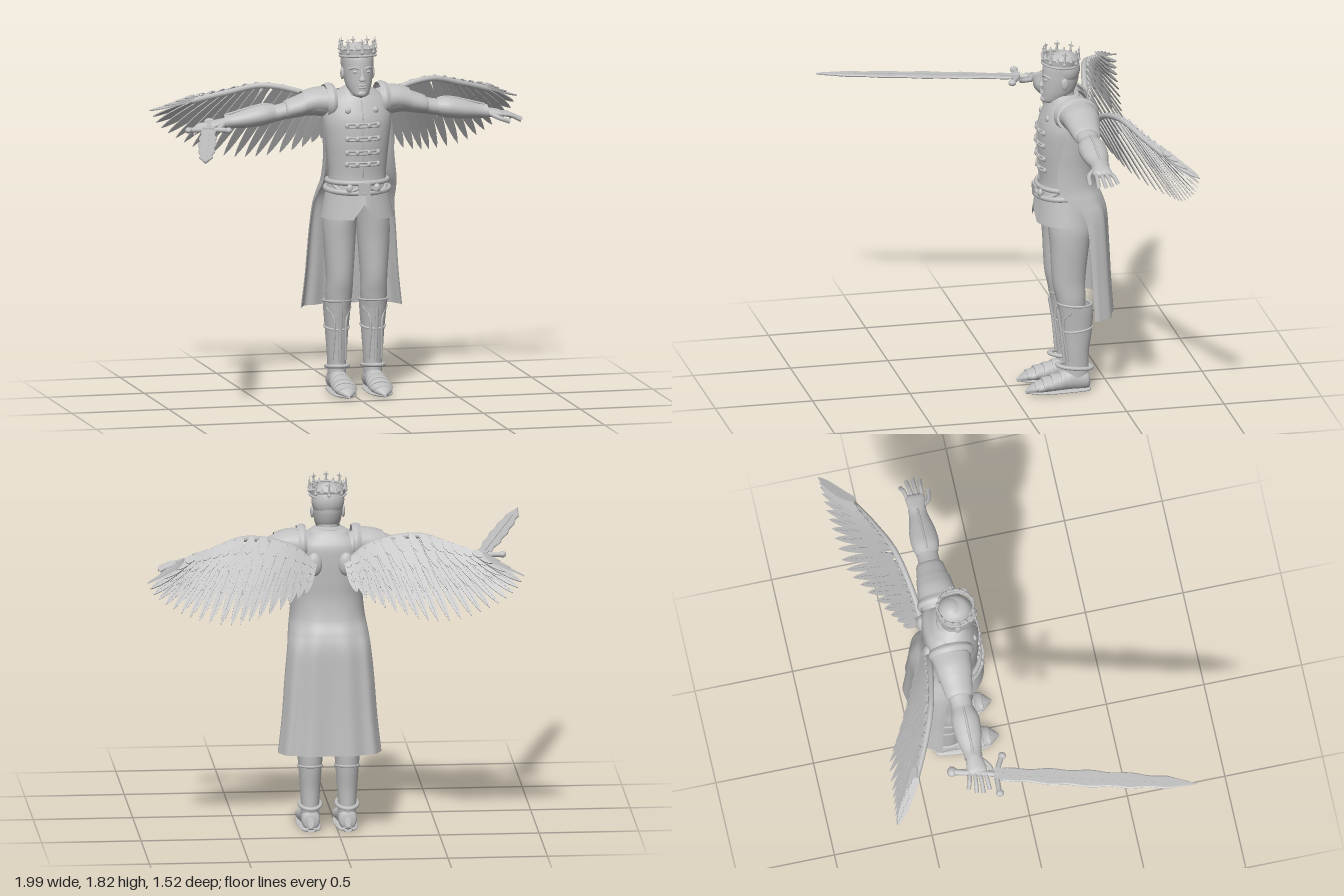
import * as THREE from 'three';
import { ParametricGeometry } from 'three/addons/geometries/ParametricGeometry.js';

const V = (x, y, z) => new THREE.Vector3(x, y, z);
const curve = (pts) => new THREE.CatmullRomCurve3(pts.map((p) => V(...p)), false, 'catmullrom', 0.5);

// Smooth skin through elliptical sections [y, cx, cz, rx, rz]
function loft(secs, sides = 28, rows = secs.length * 4) {
  const mid = curve(secs.map((s) => [s[1], s[0], s[2]]));
  const rad = curve(secs.map((s) => [s[3], s[4], 0]));
  return new ParametricGeometry((u, v, t) => {
    const c = mid.getPoint(v), r = rad.getPoint(v), a = (u - 0.5) * Math.PI * 2;
    t.set(c.x + r.x * Math.sin(a), c.y, c.z + r.y * Math.cos(a));
  }, sides, rows);
}
// Section given by its front and back z
const sec = (y, cx, rx, f, b) => [y, cx, (f + b) / 2, rx, (f - b) / 2];
// Skin along x from sections [x, y, z, ry, rz]
const armLoft = (s) => loft(s.map(([x, y, z, ry, rz]) => [x, -y, z, ry, rz])).rotateZ(-Math.PI / 2);
// Skin along z from sections [z, x, bottom, top, rx]
const footLoft = (s) => loft(s.map(([z, x, b, t, rx]) => [z, x, -(b + t) / 2, rx, (t - b) / 2])).rotateX(Math.PI / 2);

function mirrored(geo) {
  const g = geo.clone();
  if (!g.index) g.setIndex([...Array(g.attributes.position.count).keys()]);
  g.scale(-1, 1, 1);
  const ix = g.index.array;
  for (let i = 0; i < ix.length; i += 3) [ix[i + 1], ix[i + 2]] = [ix[i + 2], ix[i + 1]];
  return g;
}

export function createModel() {
  const root = new THREE.Group();
  const grey = new THREE.MeshStandardMaterial({ color: 0xc0c0c0, side: THREE.DoubleSide });
  grey.name = 'stoneGrey';
  const body = new THREE.Group();
  body.name = 'figure';
  body.position.x = 0.043;
  root.add(body);
  const add = (name, geo, parent = body) => {
    const m = new THREE.Mesh(geo, grey);
    m.name = name;
    parent.add(m);
    return m;
  };
  const pair = (name, geo) => { add(name + 'Left', geo); add(name + 'Right', mirrored(geo)); };
  const ball = (x, y, z, rx, ry, rz) => new THREE.SphereGeometry(1, 20, 14).scale(rx, ry, rz).translate(x, y, z);
  const box = (x, y, z, w, h, d) => new THREE.BoxGeometry(w, h, d).translate(x, y, z);
  const tube = (pts, r, n = 20) => new THREE.TubeGeometry(curve(pts), n, r, 8);
  const ring = (y, cz, rx, rz, t, x = 0, tilt = 0) => new THREE.TorusGeometry(1, t / rx, 8, 36)
    .rotateX(Math.PI / 2).scale(rx, rx, rz).rotateX(tilt).translate(x, y, cz);

  // Torso
  const torso = [
    sec(1.0, 0, 0.155, -0.14, -0.41), sec(1.1, 0, 0.145, -0.155, -0.39), sec(1.2, 0, 0.153, -0.15, -0.4),
    sec(1.3, 0, 0.165, -0.145, -0.41), sec(1.4, 0, 0.175, -0.152, -0.415), sec(1.48, 0, 0.16, -0.18, -0.41),
    sec(1.53, 0, 0.11, -0.205, -0.38), sec(1.56, 0, 0.06, -0.22, -0.34)];
  add('torso', loft(torso, 40));
  const chestZ = (x, y) => {
    const i = Math.max(0, torso.findIndex((s) => s[0] > y) - 1), a = torso[i], b = torso[i + 1];
    const k = (y - a[0]) / (b[0] - a[0]), L = (j) => a[j] + (b[j] - a[j]) * k;
    return L(2) + L(4) * Math.sqrt(Math.max(0, 1 - (x / L(3)) ** 2));
  };

  // Jacket skirt with a notch at the front
  add('jacketSkirt', new ParametricGeometry((u, v, t) => {
    const a = (u - 0.5) * Math.PI * 2, k = 1 - v;
    const drop = 0.17 - 0.08 * Math.max(0, 1 - Math.abs(a) / 0.3);
    t.set((0.15 + 0.037 * k) * Math.sin(a), 1.07 - drop * k, -0.28 + (0.14 + 0.018 * k) * Math.cos(a));
  }, 64, 6));

  // Chest clasps, buttons and front seam
  for (const y of [1.377, 1.31, 1.24, 1.18]) {
    const p = [-0.08, -0.04, 0, 0.04, 0.08].map((x) => [x, y, chestZ(x, y) + 0.004]);
    for (const d of [-0.008, 0.008]) add('claspCord', tube(p.map((q) => [q[0], y + d, q[2]]), 0.005));
    for (const x of [-0.08, -0.03, 0.03, 0.08]) add('claspKnob', ball(x, y, chestZ(x, y) + 0.005, 0.011, 0.014, 0.01));
  }
  pair('chestButton', ball(0.07, 1.45, chestZ(0.07, 1.45), 0.017, 0.017, 0.012));
  add('frontSeam', tube([1.11, 1.2, 1.3, 1.4, 1.5].map((y) => [0, y, chestZ(0, y)]), 0.004));

  // Belts and buckle
  add('upperBelt', ring(1.085, -0.277, 0.153, 0.135, 0.013));
  add('lowerBelt', ring(1.045, -0.275, 0.16, 0.142, 0.014, 0, 0.06));
  add('buckle', box(0, 1.055, -0.133, 0.06, 0.06, 0.02));
  pair('beltStud', ball(0.07, 1.06, -0.145, 0.018, 0.022, 0.014));
  pair('beltCord', tube([[0.15, 1.09, -0.25], [0.1, 1.04, -0.163], [0.03, 1.06, -0.13]], 0.01));

  // Legs, boots and foot plates
  pair('trouserLeg', loft([
    sec(1.0, 0.07, 0.075, -0.17, -0.41), sec(0.88, 0.084, 0.083, -0.18, -0.41), sec(0.78, 0.088, 0.08, -0.19, -0.39),
    sec(0.6, 0.088, 0.068, -0.2, -0.37), sec(0.5, 0.09, 0.067, -0.22, -0.37), sec(0.4, 0.093, 0.055, -0.24, -0.37)]));
  pair('boot', loft([
    sec(0.08, 0.093, 0.045, -0.26, -0.385), sec(0.14, 0.093, 0.046, -0.265, -0.385), sec(0.22, 0.093, 0.051, -0.26, -0.388),
    sec(0.32, 0.093, 0.058, -0.25, -0.402), sec(0.42, 0.093, 0.067, -0.235, -0.408), sec(0.47, 0.093, 0.071, -0.228, -0.4)]));
  pair('bootTopRim', ring(0.47, -0.314, 0.071, 0.086, 0.006, 0.093, -0.08));
  pair('bootBand', ring(0.335, -0.326, 0.06, 0.078, 0.006, 0.093, 0.1));
  pair('ankleBand', ring(0.135, -0.315, 0.053, 0.085, 0.01, 0.093, -0.12));
  pair('shinRidge', tube([[0.093, 0.44, -0.228], [0.093, 0.32, -0.247], [0.093, 0.16, -0.262]], 0.009));
  for (const s of [-1, 1]) pair('shinTrim', tube([
    [0.093 + s * 0.062, 0.44, -0.285], [0.093 + s * 0.03, 0.37, -0.25], [0.093 + s * 0.034, 0.17, -0.272]], 0.006));
  pair('foot', footLoft([
    [-0.392, 0.093, 0.025, 0.07, 0.015], [-0.375, 0.093, 0.012, 0.11, 0.045], [-0.3, 0.093, 0.01, 0.125, 0.048],
    [-0.22, 0.093, 0.01, 0.095, 0.053], [-0.15, 0.093, 0.01, 0.072, 0.056], [-0.1, 0.093, 0.01, 0.052, 0.038],
    [-0.06, 0.093, 0.012, 0.022, 0.003]]));
  [[-0.24, 0.108, 0.052], [-0.195, 0.093, 0.057], [-0.15, 0.08, 0.058], [-0.11, 0.062, 0.046]].forEach(([z, t, r]) =>
    pair('footPlate', footLoft([[z - 0.035, 0.093, 0.012, t + 0.006, r - 0.001], [z, 0.093, 0.012, t, r + 0.003], [z + 0.003, 0.093, 0.014, t - 0.012, r - 0.008]])));
  pair('sole', footLoft([[-0.395, 0.093, 0.004, 0.026, 0.02], [-0.36, 0.093, 0.004, 0.026, 0.05],
    [-0.15, 0.093, 0.004, 0.026, 0.06], [-0.06, 0.093, 0.006, 0.02, 0.004]]));

  // Arms
  pair('sleeve', armLoft([[0.1, 1.46, -0.32, 0.07, 0.085], [0.17, 1.475, -0.32, 0.07, 0.092], [0.24, 1.475, -0.32, 0.062, 0.085],
    [0.3, 1.46, -0.32, 0.054, 0.078], [0.36, 1.445, -0.32, 0.046, 0.066], [0.365, 1.443, -0.32, 0.03, 0.045]]));
  pair('shoulderPlate', armLoft([[0.16, 1.485, -0.32, 0.072, 0.1], [0.22, 1.485, -0.32, 0.066, 0.092], [0.275, 1.472, -0.32, 0.062, 0.086]]));
  pair('shoulderBand', armLoft([[0.115, 1.482, -0.315, 0.085, 0.108], [0.135, 1.482, -0.315, 0.092, 0.116], [0.16, 1.48, -0.315, 0.086, 0.106]]));
  pair('upperArm', armLoft([[0.33, 1.45, -0.32, 0.042, 0.058], [0.4, 1.432, -0.318, 0.042, 0.054], [0.47, 1.425, -0.318, 0.04, 0.054]]));
  pair('bracer', armLoft([[0.42, 1.43, -0.318, 0.045, 0.056], [0.48, 1.425, -0.316, 0.053, 0.07], [0.56, 1.412, -0.316, 0.048, 0.066],
    [0.64, 1.4, -0.316, 0.036, 0.048], [0.68, 1.396, -0.316, 0.036, 0.046]]));
  pair('bracerRidge', tube([[0.43, 1.475, -0.316], [0.5, 1.475, -0.316], [0.67, 1.432, -0.316]], 0.006));

  // Hands
  pair('palm', armLoft([[0.66, 1.396, -0.316, 0.024, 0.034], [0.7, 1.39, -0.314, 0.023, 0.045],
    [0.745, 1.383, -0.312, 0.02, 0.05], [0.765, 1.378, -0.312, 0.008, 0.04]]));
  [[-0.35, 0.82, -0.372], [-0.324, 0.85, -0.335], [-0.3, 0.857, -0.302], [-0.276, 0.845, -0.268]].forEach(([z, x, ze]) =>
    pair('finger', tube([[0.745, 1.383, z], [0.795, 1.377, (z + ze) / 2], [x, 1.352, ze]], 0.0105, 10)));
  pair('thumb', tube([[0.69, 1.388, -0.28], [0.73, 1.37, -0.245], [0.78, 1.352, -0.238]], 0.012, 10));

  // Head
  add('neck', loft([sec(1.49, 0, 0.075, -0.2, -0.36), sec(1.54, 0, 0.055, -0.215, -0.335), sec(1.6, 0, 0.052, -0.21, -0.33)]));
  add('collar', ring(1.535, -0.277, 0.066, 0.07, 0.014, 0, 0.15));
  add('head', loft([sec(1.512, 0, 0.008, -0.19, -0.215), sec(1.525, 0, 0.04, -0.17, -0.27), sec(1.565, 0, 0.062, -0.167, -0.325),
    sec(1.62, 0, 0.074, -0.168, -0.35), sec(1.67, 0, 0.078, -0.17, -0.356), sec(1.72, 0, 0.078, -0.18, -0.355),
    sec(1.76, 0, 0.055, -0.21, -0.33), sec(1.775, 0, 0.002, -0.265, -0.27)]));
  add('hair', ball(0, 1.69, -0.283, 0.083, 0.09, 0.079));
  add('nose', loft([sec(1.598, 0, 0.003, -0.16, -0.175), sec(1.605, 0, 0.018, -0.15, -0.18),
    sec(1.63, 0, 0.01, -0.157, -0.18), sec(1.665, 0, 0.007, -0.167, -0.18)], 16));
  add('upperLip', ball(0, 1.579, -0.167, 0.025, 0.005, 0.008));
  add('lowerLip', ball(0, 1.568, -0.167, 0.021, 0.006, 0.009));
  add('chin', ball(0, 1.535, -0.177, 0.024, 0.017, 0.016));
  pair('brow', tube([[0.014, 1.66, -0.17], [0.036, 1.668, -0.176], [0.06, 1.658, -0.2]], 0.006, 10));
  pair('eye', ball(0.032, 1.645, -0.183, 0.014, 0.007, 0.011));
  pair('ear', ball(0.078, 1.628, -0.268, 0.01, 0.031, 0.019));

  // Crown, tipped slightly back
  const crown = new THREE.Group();
  crown.name = 'crown';
  crown.position.set(0, 1.735, -0.262);
  crown.rotation.x = -0.09;
  body.add(crown);
  add('crownBand', new THREE.CylinderGeometry(0.092, 0.087, 0.036, 36, 1, true), crown);
  for (const y of [-0.018, 0.018]) add('crownRim', ring(y, 0, 0.09, 0.09, 0.006), crown);
  for (let i = 0; i < 8; i++) {
    const a = (i / 8) * Math.PI * 2, x = Math.sin(a) * 0.092, z = Math.cos(a) * 0.092;
    add('crownSpike', new THREE.ConeGeometry(0.009, 0.065, 6).translate(x, 0.045, z), crown);
    add('crownCross', new THREE.BoxGeometry(0.024, 0.007, 0.007).rotateY(a).translate(x, 0.053, z), crown);
    add('crownJewel', ball(x, 0, z, 0.008, 0.01, 0.008), crown);
    const b = a + Math.PI / 8;
    add('crownPoint', new THREE.ConeGeometry(0.012, 0.026, 6).translate(Math.sin(b) * 0.091, 0.028, Math.cos(b) * 0.091), crown);
  }

  // Cape: rows of [half width, y, front z] with the back z
  const capeRows = [[0.26, 0.42, -0.375, -0.51], [0.24, 0.6, -0.37, -0.5], [0.225, 0.8, -0.36, -0.492], [0.21, 0.95, -0.34, -0.485],
    [0.2, 1.03, -0.27, -0.465], [0.188, 1.1, -0.212, -0.435], [0.178, 1.2, -0.21, -0.42], [0.176, 1.3, -0.23, -0.425],
    [0.172, 1.4, -0.26, -0.43], [0.15, 1.48, -0.32, -0.425], [0.09, 1.535, -0.33, -0.39]];
  const edge = curve(capeRows.map((r) => r.slice(0, 3))), back = curve(capeRows.map((r) => [r[3], 0, 0]));
  add('cape', new ParametricGeometry((u, v, t) => {
    const e = edge.getPoint(v), zb = back.getPoint(v).x, a = (0.5 - u) * Math.PI, s = Math.sin(a);
    const fold = 0.008 * Math.max(0, 1 - v * 1.8) * Math.cos(a * 10);
    t.set(e.x * Math.sign(s) * Math.abs(s) ** 0.8, e.y, e.z + (zb - e.z) * Math.max(0, Math.cos(a)) ** 0.75 + fold);
  }, 56, 48));

  // Wings: rows of feathers fanned between the leading edge and the tips
  const lead = curve([[0.07, 1.38, -0.42], [0.2, 1.49, -0.435], [0.42, 1.545, -0.48], [0.6, 1.505, -0.55], [0.76, 1.455, -0.63]]);
  const tips = curve([[0.13, 1.26, -0.5], [0.25, 1.2, -0.56], [0.4, 1.16, -0.64], [0.53, 1.15, -0.71], [0.68, 1.18, -0.73],
    [0.8, 1.24, -0.745], [0.9, 1.31, -0.755], [0.947, 1.39, -0.765]]);
  const leaf = new THREE.Shape();
  leaf.moveTo(-0.2, 0);
  leaf.bezierCurveTo(-0.55, 0.3, -0.55, 0.8, 0, 1);
  leaf.bezierCurveTo(0.55, 0.8, 0.55, 0.3, 0.2, 0);
  const feather = new THREE.ExtrudeGeometry(leaf, { depth: 1, bevelEnabled: false, curveSegments: 8 });
  [[20, 1, 0.054, 0], [18, 0.66, 0.05, 0.008], [16, 0.4, 0.046, 0.016], [14, 0.2, 0.044, 0.022]].forEach(([n, len, wide, lift], row) => {
    for (let i = 0; i < n; i++) {
      const s = i / (n - 1), p = lead.getPoint(0.04 + 0.94 * s), d = tips.getPoint(s).sub(p);
      const full = d.length() * len;
      d.normalize();
      const nrm = lead.getTangent(s).cross(d).normalize().applyAxisAngle(d, 0.22);
      const m = new THREE.Matrix4().makeBasis(V(0, 0, 0).crossVectors(d, nrm), d, nrm).setPosition(p.addScaledVector(nrm, lift));
      pair(['primaryFeather', 'secondaryFeather', 'covertFeather', 'smallFeather'][row],
        feather.clone().scale(wide, full, 0.006).applyMatrix4(m));
      if (row < 2) pair('quill', new THREE.CylinderGeometry(0.001, 0.003, full * 0.95, 5)
        .translate(0, full * 0.475, 0.006).applyMatrix4(m));
    }
  });
  pair('wingArm', new THREE.TubeGeometry(lead, 40, 0.015, 10));
  pair('wingRoot', ball(0.08, 1.39, -0.42, 0.04, 0.06, 0.03));

  // Sword lying flat, pointing forward from the right hand
  const sword = new THREE.Group();
  sword.name = 'sword';
  sword.position.set(-0.74, 1.377, -0.21);
  sword.rotation.y = -0.263;
  root.add(sword);
  const blade = new THREE.Shape(), N = 24;
  const half = (k) => 0.032 + 0.011 * Math.sin(k * Math.PI) + 0.004 * Math.sin(k * 26);
  blade.moveTo(-0.03, 0);
  for (let i = 1; i <= N; i++) blade.lineTo(-half(i / N), (i / N) * 0.84);
  blade.lineTo(0, 1.0);
  for (let i = N; i >= 1; i--) blade.lineTo(half(i / N), (i / N) * 0.84);
  blade.lineTo(0.03, 0);
  add('blade', new THREE.ExtrudeGeometry(blade, { depth: 0.004, bevelThickness: 0.004, bevelSize: 0.006, bevelOffset: -0.006, bevelSegments: 1 })
    .rotateX(Math.PI / 2).translate(0, 0.002, 0), sword);
  add('bladeRidge', box(0, 0, 0.41, 0.012, 0.018, 0.8), sword);
  add('crossguard', tube([[-0.105, 0, 0.012], [-0.05, 0, -0.002], [0, 0, -0.008], [0.05, 0, -0.002], [0.105, 0, 0.012]], 0.013), sword);
  for (const x of [-0.1, 0.1]) add('guardEnd', ball(x, 0, 0.012, 0.018, 0.016, 0.02), sword);
  add('guardCentre', box(0, 0, 0, 0.06, 0.028, 0.045), sword);
  add('grip', new THREE.CylinderGeometry(0.015, 0.017, 0.24, 12).rotateX(Math.PI / 2).translate(0, 0, -0.12), sword);
  add('pommel', ball(0, 0, -0.235, 0.028, 0.022, 0.024), sword);

  return root;
}
